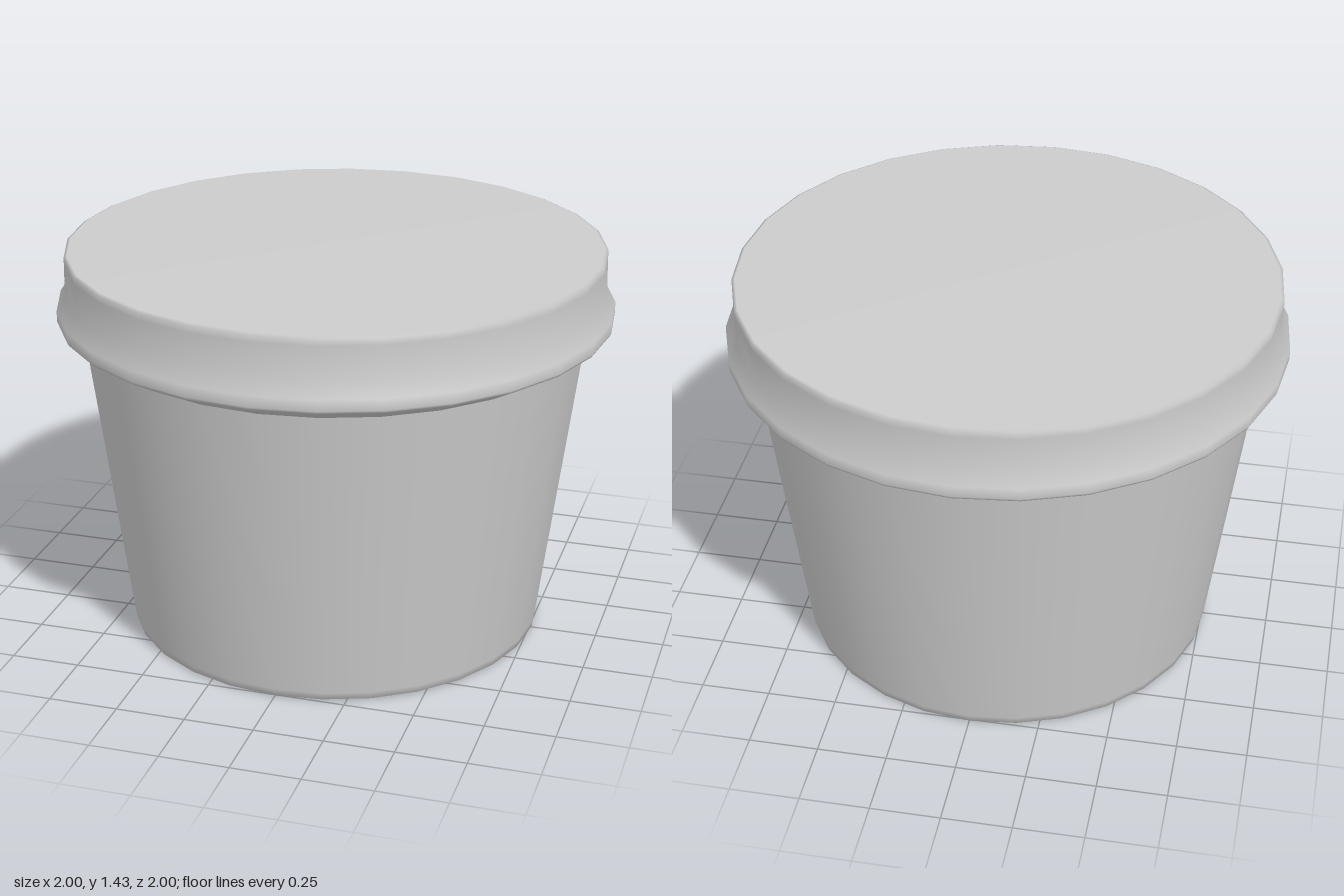
import * as THREE from 'three';

const SIDES = 28;

export function createModel() {
  const model = new THREE.Group();
  model.name = 'lidded tub';

  const grey = new THREE.MeshStandardMaterial({ color: 0xcccccc });
  grey.name = 'light grey';

  // Turns a profile of [radius, height] pairs into a named, smooth round part
  function turned(name, profile) {
    const points = profile.map(([r, y]) => new THREE.Vector2(r, y));
    const mesh = new THREE.Mesh(new THREE.LatheGeometry(points, SIDES), grey);
    mesh.name = name;
    model.add(mesh);
  }

  // Tapered tub with a flat base and a softened lower edge
  turned('tub', [[0, 0], [0.745, 0], [0.76, 0.004], [0.764, 0.03], [0.902, 1.1], [0.906, 1.13]]);

  // Lid: flared lip, rim band, upright wall and flat top
  turned('lid', [
    [0.906, 1.13], [0.995, 1.18], [1, 1.19], [1, 1.23], [0.968, 1.28],
    [0.966, 1.4], [0.966, 1.425], [0.955, 1.43], [0, 1.43],
  ]);

  return model;
}
